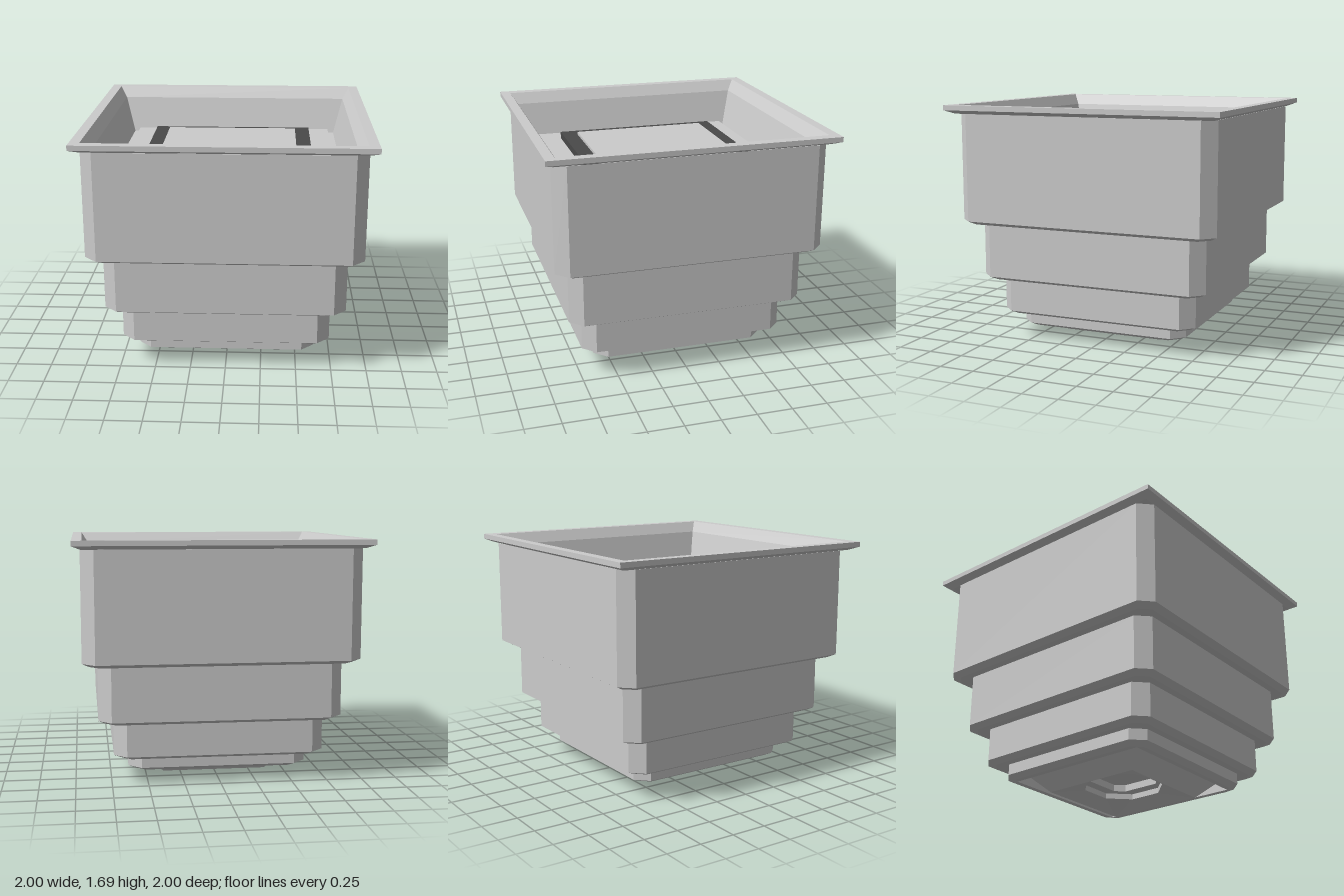
import * as THREE from 'three';

// Eight points of a square of half-width h with corners cut by c
function ring([h, c, y]) {
  const k = h - c;
  return [[-k, h], [k, h], [h, k], [h, -k], [k, -h], [-k, -h], [-h, -k], [-h, k]]
    .map(([x, z]) => new THREE.Vector3(x, y, z));
}

// Flat-shaded skin through a list of [halfWidth, cornerCut, y] rings,
// running from the top centre outward, or down the outside
function loft(name, profile) {
  const rings = profile.map(ring);
  const pos = [];
  const tri = (a, b, c) => {
    const area = b.clone().sub(a).cross(c.clone().sub(a)).length();
    if (area > 1e-7) for (const p of [a, b, c]) pos.push(p.x, p.y, p.z);
  };
  for (let r = 0; r < rings.length - 1; r++) {
    for (let i = 0; i < 8; i++) {
      const j = (i + 1) % 8;
      const A = rings[r], B = rings[r + 1];
      tri(A[i], B[i], A[j]);
      tri(A[j], B[i], B[j]);
    }
  }
  const geo = new THREE.BufferGeometry();
  geo.setAttribute('position', new THREE.Float32BufferAttribute(pos, 3));
  geo.computeVertexNormals();
  const mesh = new THREE.Mesh(geo, new THREE.MeshStandardMaterial({ color: 0xcccccc, flatShading: true }));
  mesh.name = name;
  return mesh;
}

export function createModel() {
  const model = new THREE.Group();
  model.name = 'steppedBasin';

  // Raised middle panel on a dark frame
  model.add(loft('centrePanel', [[0, 0, 1.455], [0.49, 0, 1.455], [0.49, 0, 1.43]]));
  const frame = loft('darkFrame', [[0.48, 0, 1.435], [0.6, 0, 1.435], [0.6, 0, 1.37]]);
  frame.material.color.set(0x4a4a4a);
  model.add(frame);

  // Basin floor with its low plinth, and the sloping inner walls
  model.add(loft('basin', [
    [0.58, 0, 1.385], [0.76, 0, 1.385], [0.76, 0, 1.345], [0.81, 0, 1.345],
    [0.88, 0, 1.61], [0.93, 0, 1.69],
  ]));

  // Square rim with a bevelled underside
  model.add(loft('rim', [
    [0.93, 0, 1.69], [1, 0, 1.69], [1, 0, 1.655], [0.94, 0, 1.63], [0.9, 0.08, 1.63],
  ]));

  // Shrinking tiers with cut corners and bevelled lower edges
  const tiers = [
    [0.945, 1.63, 0.85], [0.84, 0.85, 0.44], [0.735, 0.44, 0.175], [0.63, 0.175, 0.07],
  ];
  tiers.forEach(([h, top, bottom], i) => {
    const next = tiers[i + 1];
    const inner = next ? [next[0], 0.088, bottom] : [0.54, 0, bottom];
    model.add(loft('tier' + (i + 1), [
      [h, 0.088, top], [h, 0.088, bottom + 0.026], [h - 0.05, 0.07, bottom], inner,
    ]));
  });

  // Recess under the lowest tier, with a tapered foot hanging from it
  model.add(loft('underside', [
    [0.54, 0, 0.07], [0.54, 0, 0.17], [0.37, 0, 0],
  ]));

  // Hollow foot with a stepped eight-sided socket
  model.add(loft('footSocket', [
    [0.37, 0, 0], [0.26, 0.14, 0.06], [0.26, 0.14, 0.1], [0.2, 0.06, 0.11],
    [0.2, 0.06, 0.16], [0, 0, 0.16],
  ]));

  return model;
}
